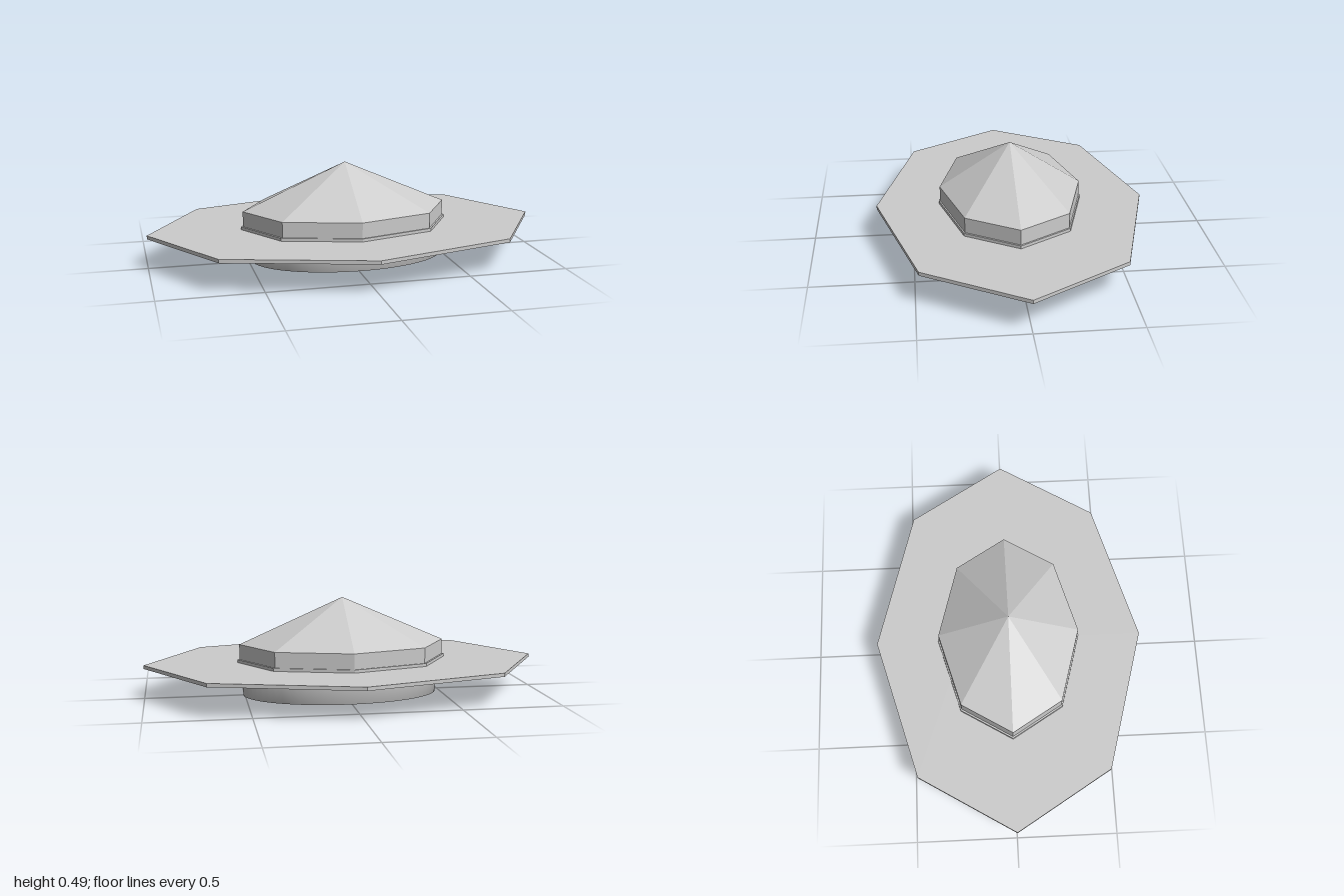
import * as THREE from 'three';

const SIDES = 8;

// Turns a closed [radius, y] profile (counter-clockwise) into an oval ring.
function ovalPart(name, profile, segments, depth, flat) {
  const points = profile.map(([r, y]) => new THREE.Vector2(r, y));
  const geometry = new THREE.LatheGeometry(points, segments);
  geometry.scale(1, 1, depth);
  const material = new THREE.MeshStandardMaterial({
    color: 0xcccccc, flatShading: flat, side: THREE.DoubleSide,
  });
  const mesh = new THREE.Mesh(geometry, material);
  mesh.name = name;
  return mesh;
}

// Rectangular section between two radii and two heights.
const section = (inner, outer, bottom, top) => [
  [inner, bottom], [outer, bottom], [outer, top], [inner, top], [inner, bottom],
];

export function createModel() {
  const hat = new THREE.Group();
  hat.name = 'hat';

  // Wide eight-sided brim, open in the middle
  hat.add(ovalPart('brim', section(0.335, 1, 0.15, 0.168), SIDES, 0.68, true));

  // Thin trim where the crown meets the brim
  hat.add(ovalPart('trim', section(0.335, 0.535, 0.168, 0.183), SIDES, 0.68, true));

  // Hollow crown: short upright wall and pointed top
  hat.add(ovalPart('crownWall', [[0.525, 0.183], [0.525, 0.26]], SIDES, 0.68, true));
  hat.add(ovalPart('crownTop', [[0.525, 0.26], [0, 0.49]], SIDES, 0.68, true));

  // Soft head ring under the brim; the profile starts mid-top so its corners shade smoothly
  const ring = [[0.456, 0.15], [0.415, 0.15], [0.415, 0], [0.497, 0], [0.497, 0.15], [0.456, 0.15]];
  const headRing = ovalPart('headRing', ring, 64, 0.598, false);
  headRing.position.set(0.012, 0, -0.003);
  hat.add(headRing);

  return hat;
}
